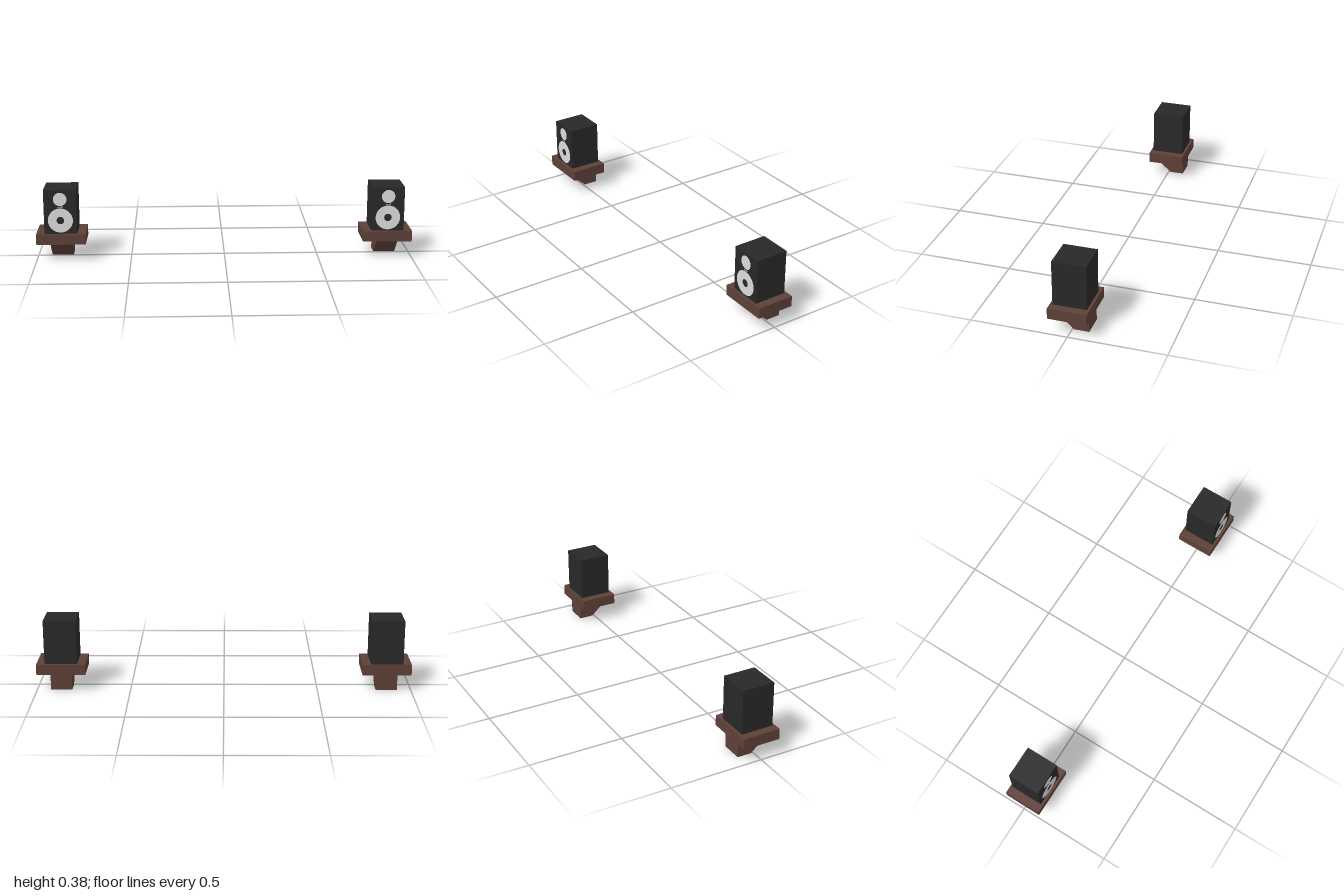
import * as THREE from 'three';

const mat = (name, color) => {
  const m = new THREE.MeshStandardMaterial({ color });
  m.name = name;
  return m;
};

export function createModel() {
  const wood = mat('brown wood', 0x5d4037);
  const black = mat('black cabinet', 0x282828);
  const silver = mat('light grey cone', 0xdcdcdc);

  const add = (parent, name, geometry, material, x, y, z) => {
    const mesh = new THREE.Mesh(geometry, material);
    mesh.name = name;
    mesh.position.set(x, y, z);
    parent.add(mesh);
  };

  // Bracket side profile: flat back, sloping underside at the front
  const width = 0.114;
  const profile = new THREE.Shape([
    [-0.087, 0], [-0.01, 0], [0.087, 0.087], [-0.087, 0.087],
  ].map(([z, y]) => new THREE.Vector2(-z, y)));
  const bracket = new THREE.ExtrudeGeometry(profile, { depth: width, bevelEnabled: false });
  bracket.translate(0, 0, -width / 2).rotateY(Math.PI / 2);

  const shelf = new THREE.BoxGeometry(0.261, 0.057, 0.201);
  const cabinet = new THREE.BoxGeometry(0.173, 0.238, 0.174);
  const woofer = new THREE.RingGeometry(0.02, 0.066, 32);
  const tweeter = new THREE.CircleGeometry(0.036, 24);
  const port = new THREE.PlaneGeometry(0.03, 0.005);

  const model = new THREE.Group();
  model.name = 'wallSpeakers';
  for (const side of [-1, 1]) {
    const unit = new THREE.Group();
    unit.name = side > 0 ? 'leftSpeaker' : 'rightSpeaker';
    unit.position.x = side * 0.8695;
    add(unit, 'bracket', bracket, wood, 0, 0, 0);
    add(unit, 'shelf', shelf, wood, 0, 0.1155, 0);
    add(unit, 'cabinet', cabinet, black, 0, 0.263, 0);
    // Drivers on the front face
    add(unit, 'woofer', woofer, silver, 0, 0.217, 0.0885);
    add(unit, 'tweeter', tweeter, silver, 0, 0.332, 0.0885);
    add(unit, 'port', port, silver, 0, 0.29, 0.0885);
    model.add(unit);
  }
  return model;
}
